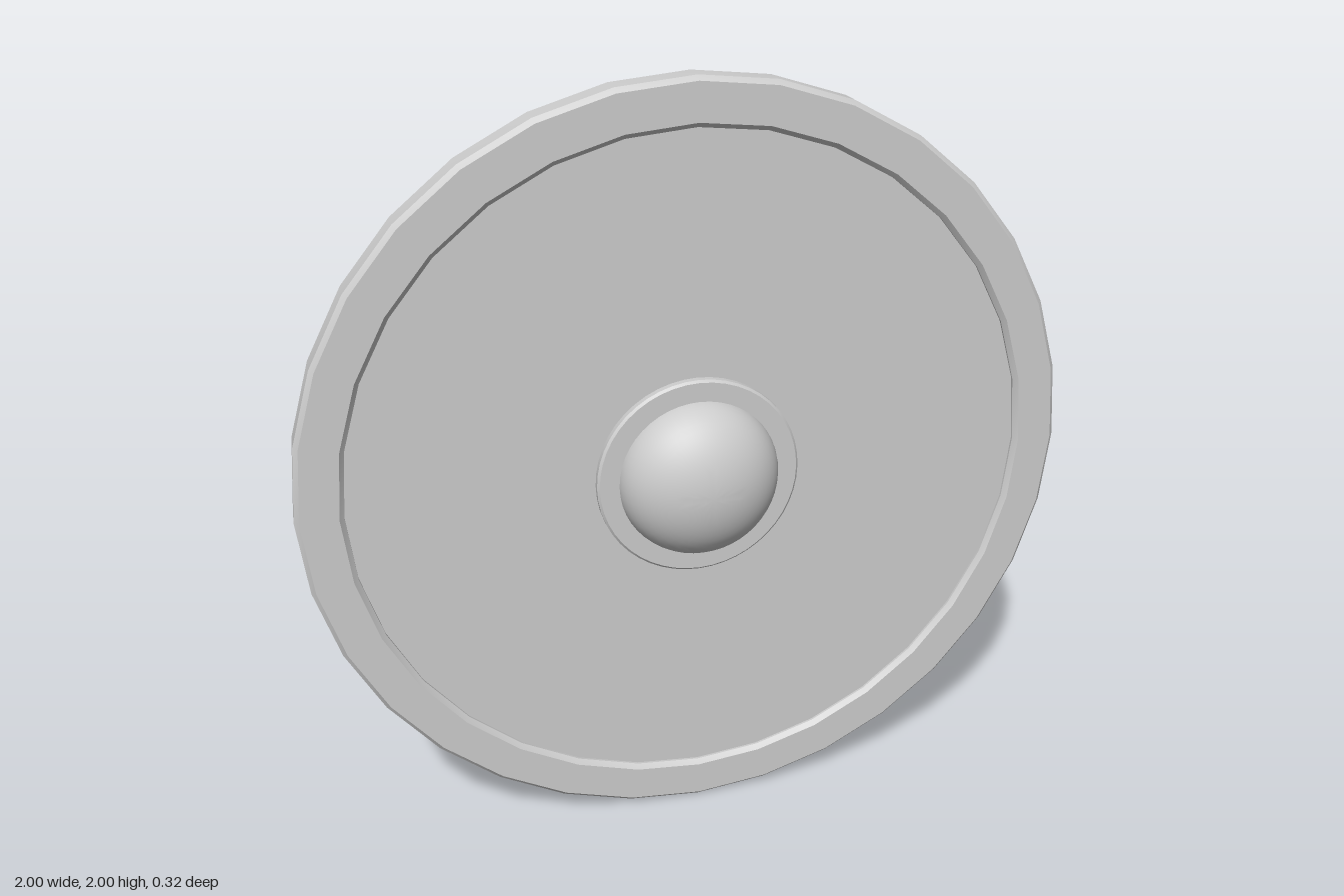
import * as THREE from 'three';
import { toCreasedNormals } from 'three/addons/utils/BufferGeometryUtils.js';

const CENTRE_Y = 1;

export function createModel() {
  const shield = new THREE.Group();
  shield.name = 'roundShield';

  const grey = new THREE.MeshStandardMaterial({ color: 0xcccccc });
  grey.name = 'plainGrey';

  const add = (name, geometry, x = 0, z = 0) => {
    const mesh = new THREE.Mesh(geometry, grey);
    mesh.name = name;
    mesh.position.set(x, CENTRE_Y, z);
    shield.add(mesh);
    return mesh;
  };

  // Profile of [radius, distance along the axis], spun and creased
  const spin = (profile, sides) => {
    const points = profile.map(([r, a]) => new THREE.Vector2(r, a));
    return toCreasedNormals(new THREE.LatheGeometry(points, sides), Math.PI / 6);
  };
  const spinFacingFront = (profile, sides) => spin(profile, sides).rotateX(Math.PI / 2);
  const spinSideways = (profile, sides) => spin(profile, sides).rotateZ(-Math.PI / 2);

  // Closed ring with bevelled edges
  const bevelledRing = (inner, outer, back, front, b, sides) => spinFacingFront([
    [outer - b, back], [outer, back + b], [outer, front - b], [outer - b, front],
    [inner + b, front], [inner, front - b], [inner, back + b], [inner + b, back],
    [outer - b, back],
  ], sides);

  // Board, rim and boss flange
  add('board', spinFacingFront([
    [0.21, -0.052], [0.9, -0.052], [0.9, 0.002], [0.21, 0.002], [0.21, -0.052],
  ], 32));
  add('rim', bevelledRing(0.882, 1, -0.07, 0.02, 0.012, 32));
  add('bossFlange', bevelledRing(0.2, 0.265, -0.075, 0.025, 0.006, 48));

  // Hollow domed boss, open at the back
  const dome = [];
  const steps = 14;
  for (let i = 0; i <= steps; i++) {
    const t = (i / steps) * Math.PI / 2;
    dome.push([0.21 * Math.cos(t), 0.008 + 0.15 * Math.sin(t)]);
  }
  for (let i = steps; i >= 0; i--) {
    const t = (i / steps) * Math.PI / 2;
    dome.push([0.197 * Math.cos(t), 0.004 + 0.14 * Math.sin(t)]);
  }
  add('bossDome', spinFacingFront(dome, 48));

  // Horizontal bar with rounded ends, and the thicker grip on it
  const barZ = -0.123;
  add('handleBar', spinSideways([
    [0, -0.85], [0.014, -0.847], [0.022, -0.838], [0.026, -0.82],
    [0.026, 0.82], [0.022, 0.838], [0.014, 0.847], [0, 0.85],
  ], 16), 0, barZ);
  add('grip', spinSideways([
    [0.02, -0.235], [0.03, -0.235], [0.034, -0.23],
    [0.034, 0.23], [0.03, 0.235], [0.02, 0.235],
  ], 16), 0, barZ);

  // Rounded strap section: shape x runs backwards from the board, y is up
  const strapShape = new THREE.Shape();
  strapShape.moveTo(0.05, -0.05);
  strapShape.lineTo(0.118, -0.05);
  strapShape.bezierCurveTo(0.145, -0.045, 0.158, -0.03, 0.158, 0);
  strapShape.bezierCurveTo(0.158, 0.03, 0.145, 0.045, 0.118, 0.05);
  strapShape.lineTo(0.05, 0.05);
  strapShape.closePath();

  // Two brackets: a flat plate on the board and a strap around the bar
  for (const [side, x] of [['left', 0.517], ['right', -0.517]]) {
    add(side + 'BracketPlate', new THREE.BoxGeometry(0.12, 0.27, 0.014), x, -0.057);
    const strap = new THREE.ExtrudeGeometry(strapShape, {
      depth: 0.12, bevelEnabled: false, curveSegments: 6,
    });
    strap.translate(0, 0, -0.06).rotateY(Math.PI / 2);
    add(side + 'BracketStrap', toCreasedNormals(strap, Math.PI / 5), x);
  }

  return shield;
}
